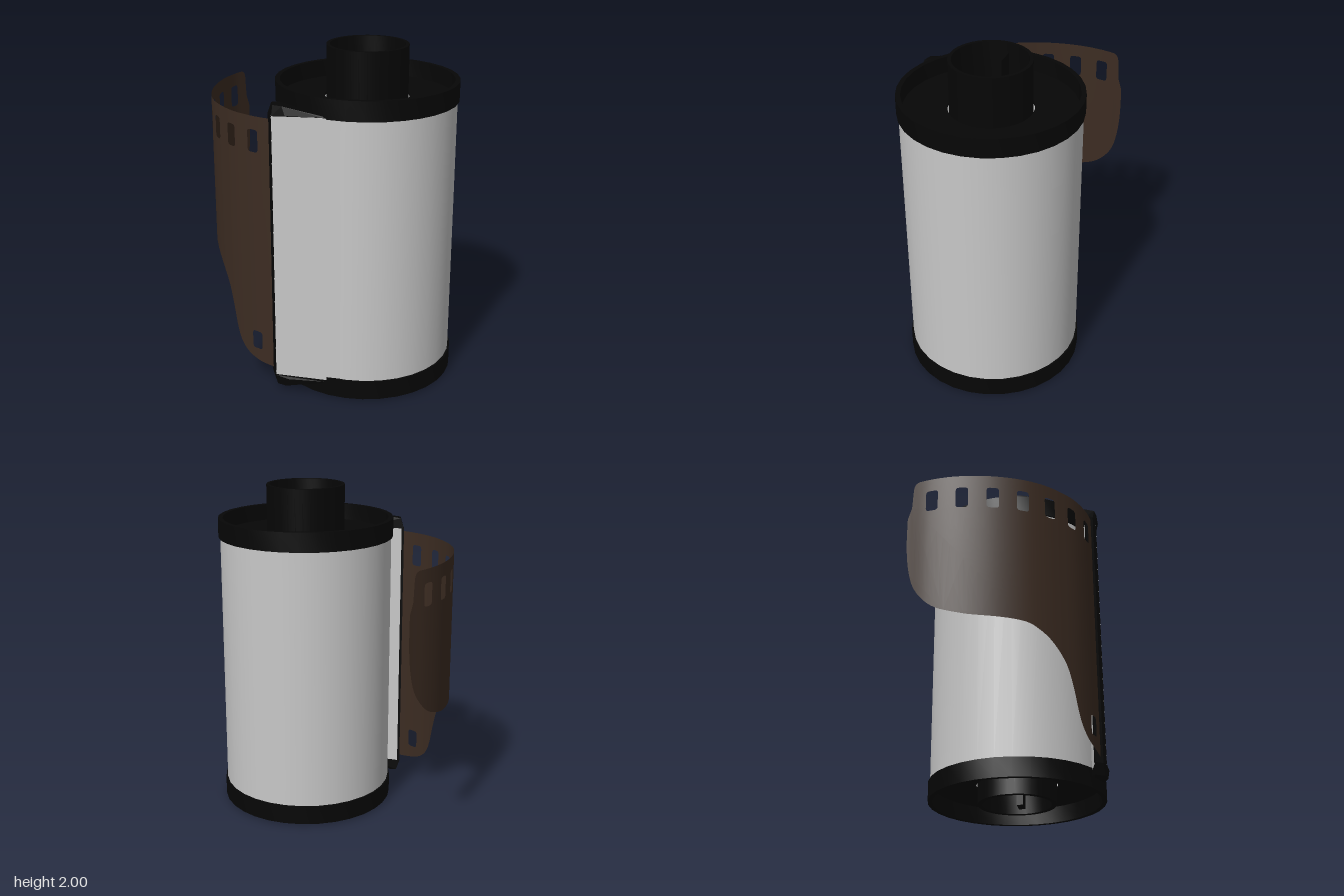
import * as THREE from 'three';
import { toCreasedNormals } from 'three/addons/utils/BufferGeometryUtils.js';
import { ConvexGeometry } from 'three/addons/geometries/ConvexGeometry.js';

const AXIS_X = 0.175, AXIS_Z = 0.17, SIDES = 32;
const START = 0.07; // film length hidden inside the slot

const std = (name, color, side = THREE.FrontSide) => {
  const m = new THREE.MeshStandardMaterial({ color, side });
  m.name = name;
  return m;
};

function add(parent, name, geometry, material) {
  const mesh = new THREE.Mesh(geometry, material);
  mesh.name = name;
  parent.add(mesh);
  return mesh;
}

// Turned part with crisp edges, profile given as [radius, y] going counter-clockwise
function turned(profile) {
  const g = new THREE.LatheGeometry(profile.map(([r, y]) => new THREE.Vector2(r, y)), SIDES);
  return toCreasedNormals(g, 0.5);
}

// Convex block from a plan outline [x, z] between two heights
function block(plan, y0, y1) {
  return new ConvexGeometry(plan.flatMap(([x, z]) => [new THREE.Vector3(x, y0, z), new THREE.Vector3(x, y1, z)]));
}

function perforation(s, y, w, h, r) {
  const p = new THREE.Path(), a = s - w / 2, b = s + w / 2, c = y - h / 2, d = y + h / 2;
  p.moveTo(a + r, c).lineTo(b - r, c);
  p.quadraticCurveTo(b, c, b, c + r).lineTo(b, d - r);
  p.quadraticCurveTo(b, d, b - r, d).lineTo(a + r, d);
  p.quadraticCurveTo(a, d, a, d - r).lineTo(a, c + r);
  p.quadraticCurveTo(a, c, a + r, c);
  return p;
}

// Flat film outline with perforations, bent along a curl
function filmGeometry() {
  const curl = new THREE.CatmullRomCurve3([
    [-0.36, 0.487], [-0.42, 0.45], [-0.5, 0.385], [-0.6, 0.265], [-0.66, 0.14], [-0.695, 0.02],
    [-0.705, -0.1], [-0.683, -0.28], [-0.622, -0.46], [-0.54, -0.595], [-0.44, -0.706],
  ].map(([x, z]) => new THREE.Vector3(x, 0, z)));
  const length = curl.getLength();

  const lower = [[0.1, 0.155], [0.19, 0.19], [0.25, 0.25], [0.285, 0.33], [0.32, 0.45], [0.37, 0.57],
    [0.46, 0.67], [0.55, 0.73], [0.65, 0.765], [0.9, 0.78], [1.0, 0.795], [1.115, 0.83], [1.195, 0.885],
    [1.266, 0.98], [1.302, 1.1], [1.318, 1.25], [1.318, 1.43]].map(([s, y]) => new THREE.Vector2(s, y));
  const shape = new THREE.Shape();
  shape.moveTo(-START, 1.665).lineTo(-START, 0.14).lineTo(0, 0.14);
  shape.splineThru(lower);
  shape.lineTo(1.293, 1.5).lineTo(1.285, 1.62);
  shape.quadraticCurveTo(1.28, 1.665, 1.245, 1.665);
  for (let i = 0; i < 7; i++) shape.holes.push(perforation(0.112 + i * 0.176, 1.522, 0.072, 0.13, 0.02));
  shape.holes.push(perforation(0.112, 0.288, 0.072, 0.112, 0.02));

  // Split triangles along the length until they are short enough to bend
  const flat = new THREE.ShapeGeometry(shape, 5).toNonIndexed().attributes.position;
  const stack = [], tris = [];
  for (let i = 0; i < flat.count; i += 3) {
    stack.push([0, 1, 2].map((k) => [flat.getX(i + k), flat.getY(i + k)]));
  }
  while (stack.length) {
    const t = stack.pop();
    const span = [0, 1, 2].map((k) => Math.abs(t[k][0] - t[(k + 1) % 3][0]));
    const longest = Math.max(...span);
    if (longest < 0.045) { tris.push(t); continue; }
    const k = span.indexOf(longest);
    const a = t[k], b = t[(k + 1) % 3], c = t[(k + 2) % 3];
    const m = [(a[0] + b[0]) / 2, (a[1] + b[1]) / 2];
    stack.push([a, m, c], [m, b, c]);
  }

  const pos = [], nor = [];
  for (const [s, y] of tris.flat()) {
    const u = THREE.MathUtils.clamp((s + START) / length, 0, 1);
    const p = curl.getPointAt(u), t = curl.getTangentAt(u);
    pos.push(p.x, y, p.z);
    nor.push(-t.z, 0, t.x);
  }
  const g = new THREE.BufferGeometry();
  g.setAttribute('position', new THREE.Float32BufferAttribute(pos, 3));
  g.setAttribute('normal', new THREE.Float32BufferAttribute(nor, 3));
  return g;
}

export function createModel() {
  const root = new THREE.Group();
  root.name = 'filmCartridge';
  const metal = std('lightGreyMetal', 0xc8c8c8, THREE.DoubleSide);
  const black = std('blackPlastic', 0x060606);
  const brown = std('brownFilm', 0x3c2c22, THREE.DoubleSide);

  const can = new THREE.Group();
  can.name = 'canister';
  can.position.set(AXIS_X, 0, AXIS_Z);
  root.add(can);

  // Metal shell
  const shell = add(can, 'shell', new THREE.CylinderGeometry(0.517, 0.517, 1.59, SIDES, 1, true), metal);
  shell.position.y = 0.91;

  // End caps: thin raised rim around a deep floor with a clearance hole for the spool
  const cap = [[0.245, 1.69], [0.528, 1.69], [0.528, 1.805], [0.5, 1.805], [0.5, 1.705], [0.245, 1.705], [0.245, 1.69]];
  add(can, 'topCap', turned(cap), black);
  add(can, 'bottomCap', turned(cap.map(([r, y]) => [r, 1.82 - y]).reverse()), black);

  // Spool, hollow at both ends
  add(can, 'spool', turned([[0, 0.16], [0.205, 0.16], [0.205, 0.005], [0.235, 0.005], [0.235, 2],
    [0.215, 2], [0.215, 1.75], [0, 1.75]]), black);

  // Drive keys inside the spool ends
  for (const [y, height] of [[1.84, 0.2], [0.1, 0.13]]) {
    for (const side of [-1, 1]) {
      const key = add(can, 'spoolKey', new THREE.BoxGeometry(0.11, height, 0.04), black);
      key.position.set(side * 0.14, y, side * 0.075);
      key.rotation.y = -0.49;
    }
  }

  // Film slot lip, leaving the shell at a tangent
  const lip = [[-0.02, 0.645], [-0.41, 0.488], [-0.41, 0.425], [-0.22, 0.48]];
  add(root, 'slotLip', block(lip, 0.11, 1.695), metal);
  add(root, 'lightTrap', block([[-0.409, 0.49], [-0.42, 0.465], [-0.422, 0.415], [-0.407, 0.415]], 0.11, 1.69), black);

  // Peaked black ends closing the lip
  const peak = [[-0.422, 1.685, 0.415], [-0.42, 1.685, 0.465], [-0.409, 1.69, 0.492], [-0.34, 1.7, 0.535],
    [-0.14, 1.698, 0.597], [-0.2, 1.692, 0.48], [-0.4, 1.75, 0.42], [-0.4, 1.75, 0.485],
    [-0.36, 1.755, 0.435], [-0.355, 1.75, 0.52], [-0.14, 1.705, 0.595]];
  for (const flip of [false, true]) {
    const pts = peak.map(([x, y, z]) => new THREE.Vector3(x, flip ? 1.795 - y : y, z));
    add(root, flip ? 'lowerLipEnd' : 'upperLipEnd', new ConvexGeometry(pts), black);
  }

  // Film leader
  add(root, 'filmLeader', filmGeometry(), brown);
  return root;
}
